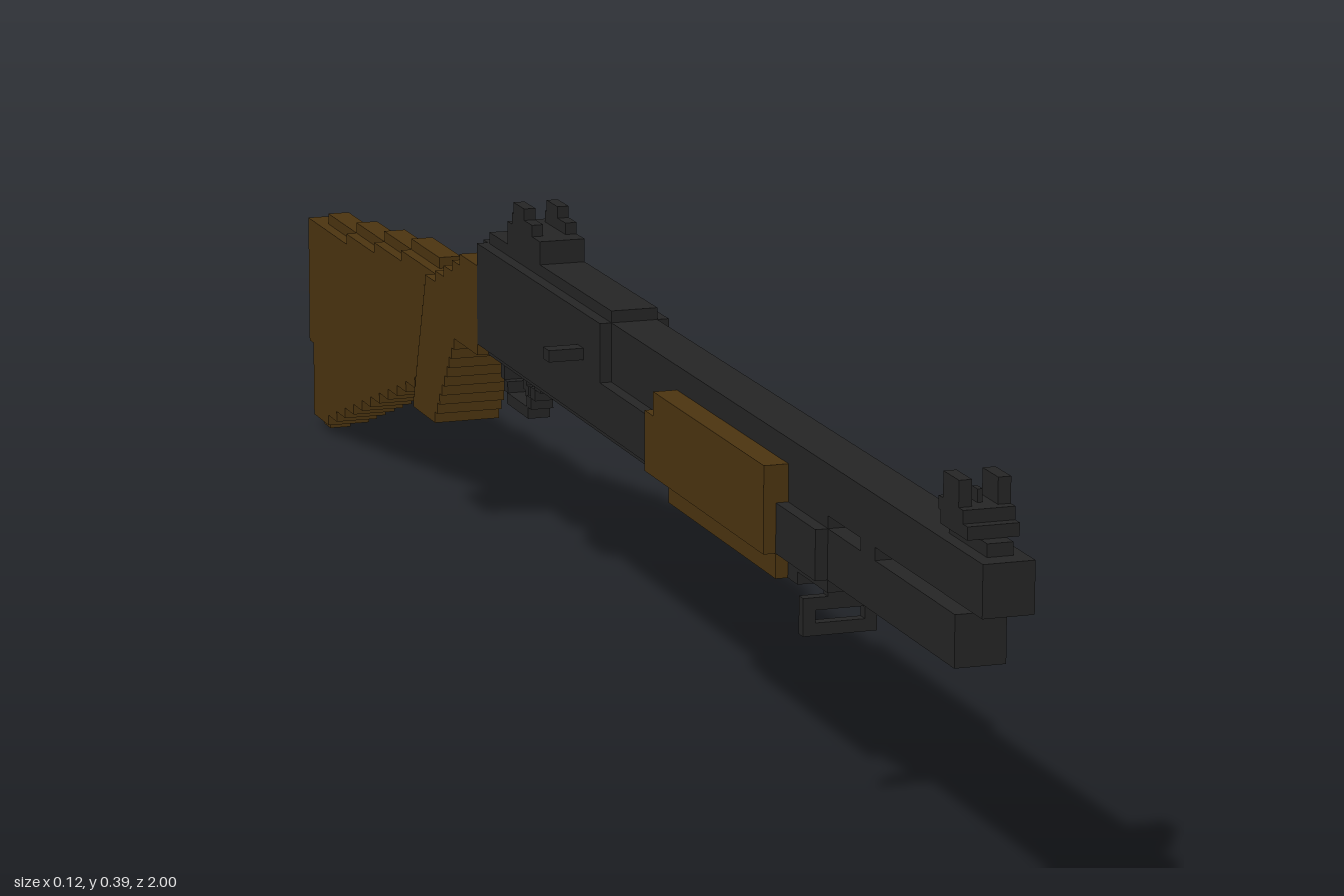
import * as THREE from 'three';

const V = 2 / 173; // one voxel
const metal = new THREE.MeshStandardMaterial({ color: 0x262626 });
metal.name = 'dark metal';
const wood = new THREE.MeshStandardMaterial({ color: 0x4d3510 });
wood.name = 'brown wood';

// Block with x and y in voxels (x measured from the grid centre), z in units
function block(parent, mat, x0, x1, y0, y1, z0, z1) {
  const geo = new THREE.BoxGeometry((x1 - x0) * V, (y1 - y0) * V, Math.abs(z1 - z0));
  const mesh = new THREE.Mesh(geo, mat);
  mesh.position.set((x0 + x1) / 2 * V, (y0 + y1) / 2 * V, (z0 + z1) / 2);
  mesh.name = parent.name;
  parent.add(mesh);
  return mesh;
}

// Group built from a list of blocks
function part(root, name, mat, list) {
  const g = new THREE.Group();
  g.name = name;
  for (const b of list) block(g, mat, ...b);
  root.add(g);
  return g;
}

export function createModel() {
  const root = new THREE.Group();
  root.name = 'longGun';

  part(root, 'barrel', metal, [[-1, 3, 25, 29, 0.05, 1]]);
  part(root, 'magazineTube', metal, [
    [-1, 3, 20, 24, 0.05, 0.94],
    [-1, 3, 24, 25, 0.72, 0.755], // barrel spacer
  ]);
  part(root, 'tubeClamp', metal, [
    [-2, 4, 20, 24, 0.05, 0.64],
    [-1, 3, 24, 25, 0.05, 0.64],
    [-1, 3, 19, 20, 0.05, 0.64],
    [-1, 3, 18, 19, 0.54, 0.565],
  ]);
  part(root, 'slingSwivel', metal, [
    [0, 2, 18, 19, 0.6, 0.611],
    [-2, 4, 17, 18, 0.6, 0.611],
    [-2, 4, 15, 16, 0.6, 0.611],
    [-2, -1, 16, 17, 0.6, 0.611],
    [3, 4, 16, 17, 0.6, 0.611],
  ]);

  // Sliding wooden fore-end, open at the top for the barrel
  const fore = [[-2, 4, 18, 20, 0.25, 0.54]];
  for (const [a, b] of [[-3, -1], [3, 5]]) {
    fore.push([a, b, 20, 25, 0.215, 0.54], [a, b, 25, 27, 0.24, 0.54]);
  }
  part(root, 'foreEnd', wood, fore);

  part(root, 'receiver', metal, [
    [-2, 4, 20, 29, -0.34, 0.05],
    [-1, 3, 29, 30, -0.335, 0.05],
    [-1, 3, 19, 20, -0.34, 0.05],
    [-1, 3, 28, 29, -0.355, -0.34],
  ]);
  part(root, 'chargingHandle', metal, [[-5, -2, 25, 26, -0.0, 0.012 - 0.03]]);

  // Sights: stepped bases with a pair of ears and a thin post
  part(root, 'frontSight', metal, [
    [0, 2, 29, 30, 0.895, 0.98],
    [-1, 3, 30, 31, 0.905, 0.965],
    [-1, 3, 31, 32, 0.9, 0.955],
    [-1, 0, 32, 34, 0.91, 0.945],
    [2, 3, 32, 34, 0.91, 0.945],
    [0.8, 1.2, 32, 33, 0.922, 0.934],
  ]);
  part(root, 'rearSight', metal, [
    [-1, 3, 30, 32, -0.275, -0.17],
    [-1, 0, 32, 33, -0.26, -0.195],
    [2, 3, 32, 33, -0.26, -0.195],
    [-1, 0, 33, 34, -0.255, -0.22],
    [2, 3, 33, 34, -0.255, -0.22],
  ]);

  part(root, 'triggerGuard', metal, [
    [0, 2, 18, 19, -0.225, -0.205],
    [0, 2, 17, 18, -0.238, -0.222],
    [0, 2, 16, 17, -0.25, -0.235],
    [0, 2, 15, 16, -0.315, -0.245],
    [0, 2, 16, 17, -0.325, -0.312],
    [0, 2, 17, 19, -0.334, -0.322],
  ]);
  part(root, 'trigger', metal, [
    [0.5, 1.5, 17, 19, -0.28, -0.268],
    [0.5, 1.5, 16.5, 17.5, -0.272, -0.262],
  ]);

  // Wrist and pistol grip: stepped rows slanting down and back
  const grip = [];
  const wristBack = [-0.52, -0.485, -0.455, -0.425, -0.4, -0.375];
  for (let y = 10; y < 28; y++) {
    const front = y >= 19 ? -0.34 : -0.42 - (18 - y) * 0.0085;
    const back = y >= 22 ? wristBack[y - 22] : -0.525 - (21 - y) * 0.0036;
    const narrow = y === 27 ? 1 : 0;
    grip.push([-2 + narrow, 4 - narrow, y, y + 1, back, front]);
  }
  part(root, 'grip', wood, grip);

  // Shoulder stock: stepped top ridge and rising underside
  const stock = [];
  for (let y = 0; y < 20; y++) {
    const front = y < 12 ? -0.565 - (12 - y) * 0.033 : -0.53;
    const back = y < 8 ? -0.985 : -1;
    stock.push([y ? -1 : 0, y ? 3 : 2, y, y + 1, back, front]);
  }
  const ends = [-0.96, -0.85, -0.745, -0.645];
  ends.forEach((end, i) => {
    const front = i === 3 ? -0.545 : -0.52;
    stock.push([0, 2, 20 + i, 21 + i, end, front]);
    if (i < 3) stock.push([-1, 3, 20 + i, 21 + i, ends[i + 1], front]);
  });
  part(root, 'stock', wood, stock);

  return root;
}
